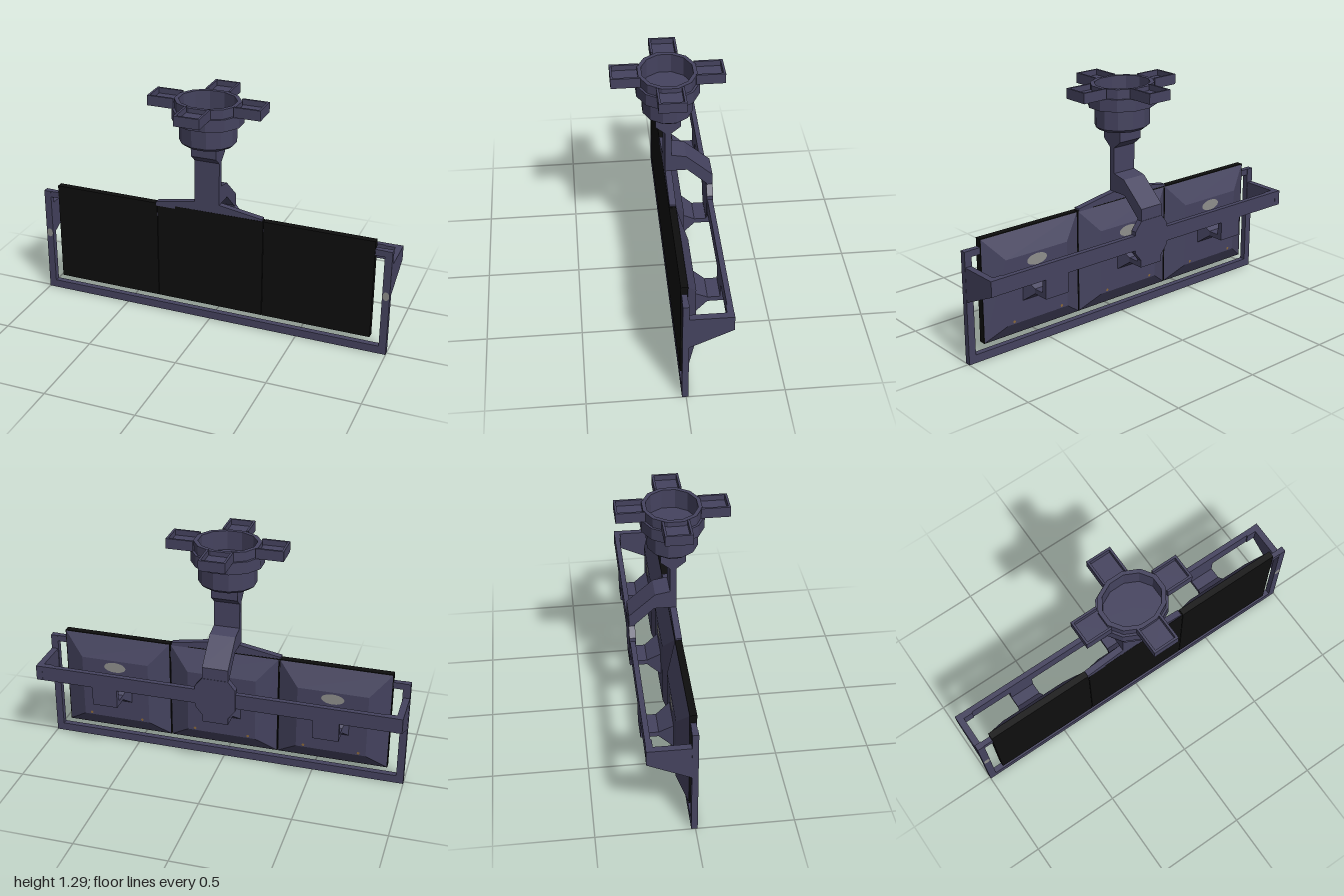
import * as THREE from 'three';

const mat = (name, color) => {
  const m = new THREE.MeshStandardMaterial({ color });
  m.name = name;
  return m;
};

// Faceted normals
function flat(g) {
  const f = g.index ? g.toNonIndexed() : g;
  f.computeVertexNormals();
  return f;
}

// Outline drawn in (z, y), extruded along x and centred on x
function sideProfile(points, width, x) {
  const shape = new THREE.Shape(points.map(p => new THREE.Vector2(...p)));
  const g = new THREE.ExtrudeGeometry(shape, { depth: width, bevelEnabled: false });
  return g.rotateY(-Math.PI / 2).translate(x + width / 2, 0, 0);
}

// Outline drawn in (x, y), extruded from z0 to z1
function frontProfile(points, z0, z1) {
  const shape = new THREE.Shape(points.map(p => new THREE.Vector2(...p)));
  return new THREE.ExtrudeGeometry(shape, { depth: z1 - z0, bevelEnabled: false }).translate(0, 0, z0);
}

// Box given by its limits
function box(x0, x1, y0, y1, z0, z1) {
  return new THREE.BoxGeometry(x1 - x0, y1 - y0, z1 - z0)
    .translate((x0 + x1) / 2, (y0 + y1) / 2, (z0 + z1) / 2);
}

// Box whose front and back rectangles differ: [halfWidth, yLow, yHigh, z]
function taper(x, front, back) {
  const g = new THREE.BoxGeometry(2, 2, 2);
  const p = g.attributes.position;
  for (let i = 0; i < p.count; i++) {
    const [w, lo, hi, z] = p.getZ(i) > 0 ? front : back;
    p.setXYZ(i, x + p.getX(i) * w, p.getY(i) > 0 ? hi : lo, z);
  }
  return flat(g);
}

export function createModel() {
  const metal = mat('slate metal', 0x45435f);
  const black = mat('screen black', 0x0e0e0e);
  const grey = mat('pale grey', 0x8f8f8c);
  const brass = mat('brass', 0x8a683a);
  const root = new THREE.Group();
  root.name = 'hangingDisplay';
  const add = (parent, name, g, m = metal) => {
    const mesh = new THREE.Mesh(g, m);
    mesh.name = name;
    parent.add(mesh);
    return mesh;
  };
  const cx = -0.015;

  // Ceiling mount: hollow twelve-sided cup
  const mount = new THREE.Group();
  mount.name = 'ceilingMount';
  mount.position.x = cx;
  root.add(mount);
  const profile = [[0, 1.045], [0.115, 1.045], [0.134, 1.062], [0.134, 1.17], [0.167, 1.17],
    [0.167, 1.235], [0.155, 1.235], [0.155, 1.285], [0.134, 1.285], [0.134, 1.18], [0, 1.18]];
  const cup = new THREE.LatheGeometry(profile.map(p => new THREE.Vector2(...p)), 12, Math.PI / 12);
  add(mount, 'mountCup', flat(cup.scale(1.15, 1, 1)));

  // Four tray-shaped mounting arms
  for (let i = 0; i < 4; i++) {
    const arm = new THREE.Group();
    arm.name = 'mountArm';
    arm.rotation.y = i * Math.PI / 2;
    const start = i % 2 ? 0.165 : 0.14, end = i % 2 ? 0.31 : 0.29;
    add(arm, 'armFloor', box(-0.07, 0.07, 1.235, 1.26, start, end));
    add(arm, 'armEnd', box(-0.07, 0.07, 1.26, 1.29, end - 0.012, end));
    for (const s of [-1, 1]) {
      add(arm, 'armWall', box(s * 0.064 - 0.006, s * 0.064 + 0.006, 1.26, 1.29, start, end - 0.012));
    }
    mount.add(arm);
  }

  // Neck and hanging plate
  add(root, 'neck', sideProfile([[-0.065, 1.05], [-0.065, 0.985], [-0.017, 0.945],
    [0.017, 0.945], [0.065, 0.985], [0.065, 1.05]], 0.14, cx));
  add(root, 'hangingPlate', frontProfile([[-0.31, 0.64], [0.295, 0.64], [0.295, 0.665], [0.055, 0.705],
    [0.055, 0.95], [-0.085, 0.95], [-0.085, 0.705], [-0.31, 0.665]], -0.017, 0.017));

  // Lower assembly hangs very slightly askew
  const display = new THREE.Group();
  display.name = 'displayAssembly';
  display.rotation.y = -0.005;
  root.add(display);

  // Curved rear arm ending in the middle bracket
  add(display, 'rearArm', sideProfile([[-0.015, 0.805], [-0.095, 0.79], [-0.235, 0.665], [-0.235, 0.34],
    [-0.14, 0.34], [-0.14, 0.367], [-0.205, 0.367], [-0.205, 0.607], [-0.1, 0.705], [-0.015, 0.705]], 0.14, cx));
  add(display, 'rearArmGusset', frontProfile([[-0.07, 0.6], [-0.11, 0.55], [-0.11, 0.43], [-0.07, 0.38],
    [0.07, 0.38], [0.11, 0.43], [0.11, 0.55], [0.07, 0.6]].map(([x, y]) => [x + cx, y]), -0.237, -0.203));

  // Rear crossbar and outer frame
  add(display, 'rearBar', box(-0.995, 0.995, 0.445, 0.528, -0.234, -0.206));
  add(display, 'frameBottom', box(-1, 1, 0, 0.045, -0.016, 0.016));
  add(display, 'frameTop', box(-0.96, 0.96, 0.575, 0.61, -0.014, 0.014));
  for (const s of [-1, 1]) {
    add(display, 'frameSide', box(s * 0.98 - 0.02, s * 0.98 + 0.02, 0.045, 0.61, -0.016, 0.016));
    add(display, 'sideBracket', sideProfile([[-0.01, 0.528], [-0.235, 0.528], [-0.235, 0.445], [-0.01, 0.34]],
      0.035, s * 0.9815));
    add(display, 'frameTab', box(s * 0.94 - 0.03, s * 0.94 + 0.03, 0.45, 0.528, -0.234, -0.2));
    add(display, 'frameSpot', new THREE.CircleGeometry(0.018, 12).scale(1, 1.4, 1)
      .translate(s * 0.98, 0.35, 0.0175), grey);
  }

  // Three screens with bevelled housings and rear brackets
  for (const i of [-1, 0, 1]) {
    const x = i * 0.607;
    const screen = new THREE.Group();
    screen.name = 'screen';
    display.add(screen);
    add(screen, 'screenPanel', box(x - 0.302, x + 0.302, 0.09, 0.655, -0.018, 0.018), black);
    add(screen, 'screenHousing', taper(x, [0.298, 0.092, 0.65, -0.018], [0.19, 0.172, 0.53, -0.07]));
    const bx = i ? x : cx;
    add(screen, 'bracketFoot', taper(bx, [0.093, 0.285, 0.42, -0.069], [0.07, 0.34, 0.367, -0.142]));
    if (i) {
      add(screen, 'bracket', sideProfile([[-0.14, 0.34], [-0.234, 0.34], [-0.234, 0.447],
        [-0.206, 0.447], [-0.206, 0.367], [-0.14, 0.367]], 0.14, bx));
    }
    add(screen, 'housingBadge', new THREE.CircleGeometry(1, 20).scale(0.062, 0.03, 1)
      .rotateY(Math.PI).translate(x, 0.49, -0.0715), grey);
    for (const s of [-1, 1]) {
      add(screen, 'housingScrew', new THREE.CircleGeometry(0.008, 8)
        .rotateY(Math.PI).translate(x + s * 0.15, 0.185, -0.0715), brass);
    }
  }
  return root;
}
